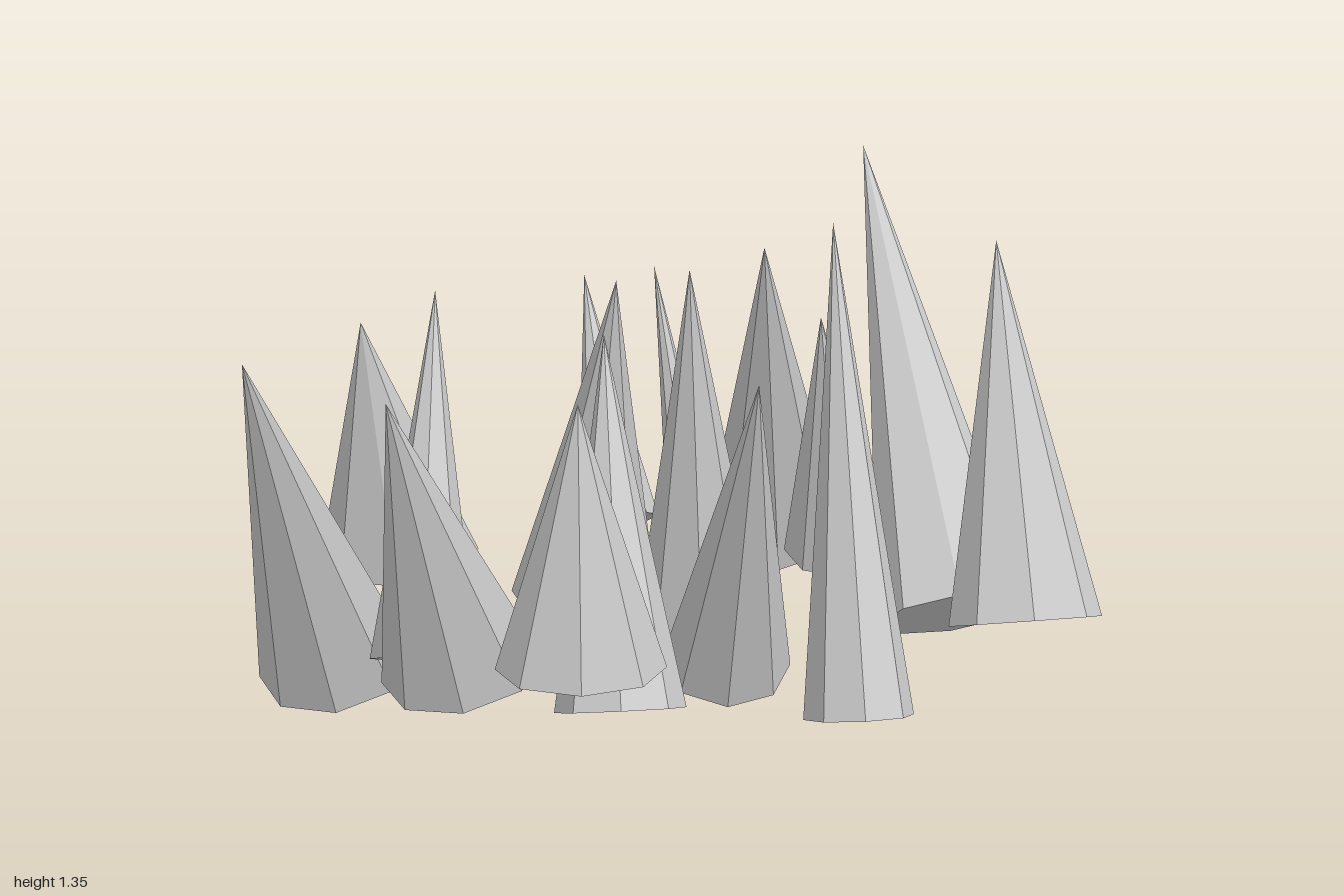
import * as THREE from 'three';

// Each spike: apex [x, y, z], base centre [x, y, z], base half-width and half-depth
const SPIKES = [
  // left side
  [[-0.73, 1.085, -0.16], [-0.668, 0.45, -0.275], 0.198, 0.14],
  [[-0.95, 1.135, 0.337], [-0.81, 0.255, -0.05], 0.193, 0.155],
  [[-0.615, 1.157, 0.703], [-0.485, 0.45, 0.44], 0.185, 0.14],
  [[-0.545, 1.2, -0.02], [-0.577, 0.43, 0.335], 0.123, 0.145],
  // middle
  [[-0.222, 1.135, 0.652], [-0.222, 0.54, 0.65], 0.185, 0.15],
  [[-0.162, 1.175, 0.272], [-0.137, 0.415, 0.595], 0.145, 0.155],
  [[-0.13, 1.235, 0.042], [-0.21, 0.37, -0.2], 0.18, 0.165],
  [[-0.2, 1.095, -0.535], [-0.125, 0.55, -0.24], 0.1, 0.11],
  [[-0.02, 1.07, -0.712], [0.132, 0.04, -0.478], 0.108, 0.137],
  [[0.035, 1.27, 0.085], [0.07, 0.265, -0.06], 0.17, 0.152],
  [[0.155, 1.17, 0.645], [0.112, 0.385, 0.27], 0.15, 0.135],
  [[0.222, 1.257, -0.16], [0.283, 0.415, -0.54], 0.18, 0.155],
  // right side
  [[0.364, 1.362, 0.026], [0.406, 0.31, 0.42], 0.126, 0.158],
  [[0.34, 1.14, 0.03], [0.4, 0.525, -0.12], 0.125, 0.135],
  [[0.52, 1.36, -0.8], [0.68, 0.395, 0.015], 0.19, 0.142],
  [[0.765, 1.275, -0.137], [0.815, 0.45, 0.205], 0.18, 0.135],
];

const UP = new THREE.Vector3(0, 1, 0);

// Eight-sided cone standing on its base centre, leaning towards its apex
function makeSpike(apex, base, rx, rz, material) {
  const foot = new THREE.Vector3(...base);
  const axis = new THREE.Vector3(...apex).sub(foot);
  const height = axis.length();
  const geometry = new THREE.ConeGeometry(1, 1, 8);
  geometry.translate(0, 0.5, 0);
  geometry.scale(rx, height, rz);
  const spike = new THREE.Mesh(geometry, material);
  spike.position.copy(foot);
  spike.quaternion.setFromUnitVectors(UP, axis.normalize());
  return spike;
}

export function createModel() {
  const group = new THREE.Group();
  group.name = 'spikeCluster';
  const material = new THREE.MeshStandardMaterial({ color: 0xcccccc, flatShading: true });
  SPIKES.forEach(([apex, base, rx, rz], i) => {
    const spike = makeSpike(apex, base, rx, rz, material);
    spike.name = `spike${i + 1}`;
    group.add(spike);
  });
  return group;
}
